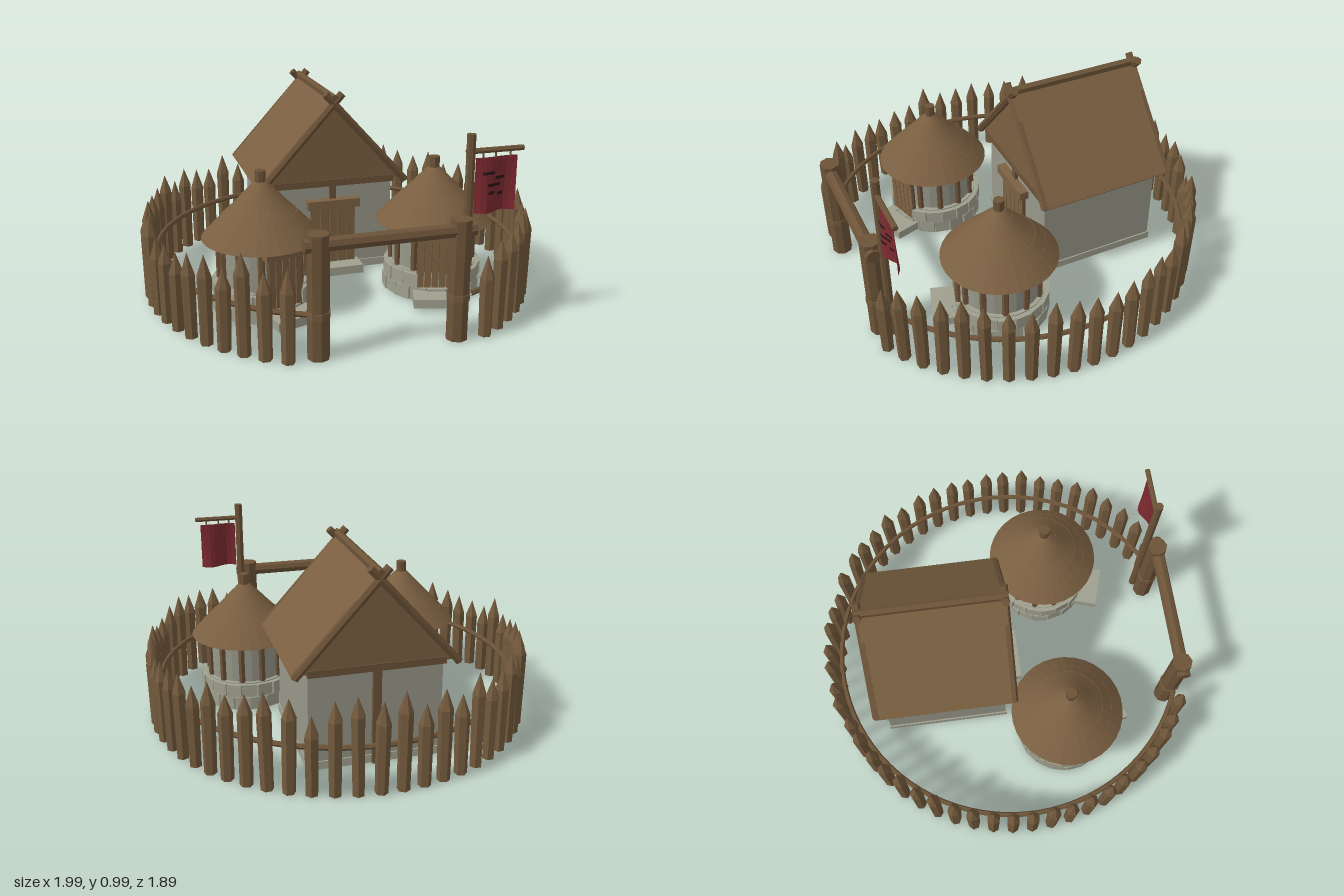
import * as THREE from 'three';

const mat = (name, color, side = THREE.FrontSide) => {
  const m = new THREE.MeshStandardMaterial({ color, side, flatShading: true });
  m.name = name;
  return m;
};

export function createModel() {
  const wood = mat('stakeWood', 0x735a3d);
  const timber = mat('timber', 0x6c5338);
  const plank = mat('plankWood', 0x7d6243);
  const thatch = mat('thatch', 0x7a5f41);
  const plaster = mat('plaster', 0x97978a);
  const stone = mat('stone', 0xa0a08f);
  const cloth = mat('redCloth', 0x7d2a30, THREE.DoubleSide);
  const dark = mat('darkMark', 0x2c1517, THREE.DoubleSide);

  const model = new THREE.Group();
  model.name = 'village';

  let seed = 7;
  const rand = () => (seed = (seed * 16807) % 2147483647) / 2147483647;

  const add = (parent, name, geo, material, x = 0, y = 0, z = 0) => {
    const m = new THREE.Mesh(geo, material);
    m.name = name;
    m.position.set(x, y, z);
    parent.add(m);
    return m;
  };
  const box = (parent, name, material, w, h, d, x, y, z) =>
    add(parent, name, new THREE.BoxGeometry(w, h, d), material, x, y, z);
  // Round pole between two points
  const pole = (parent, name, material, a, b, r, sides = 8) => {
    const A = new THREE.Vector3(...a), B = new THREE.Vector3(...b);
    const dir = B.clone().sub(A);
    const m = add(parent, name, new THREE.CylinderGeometry(r, r, dir.length(), sides), material);
    m.position.copy(A.add(B).multiplyScalar(0.5));
    m.quaternion.setFromUnitVectors(new THREE.Vector3(0, 1, 0), dir.normalize());
    return m;
  };
  const group = (name, x = 0, y = 0, z = 0) => {
    const g = new THREE.Group();
    g.name = name;
    g.position.set(x, y, z);
    model.add(g);
    return g;
  };

  // Palisade: ring of pointed stakes with a gap at the gate
  const fence = group('palisade', 0, 0, 0.05);
  const stakes = 50, gap = 0.5;
  for (let i = 0; i < stakes; i++) {
    const a = gap + (i / (stakes - 1)) * (Math.PI * 2 - gap * 2);
    const h = 0.39 + rand() * 0.1, tip = 0.09 + rand() * 0.02;
    const s = new THREE.Group();
    s.name = 'stake';
    s.position.set(Math.sin(a) * 0.963, 0, Math.cos(a) * 0.963);
    s.rotation.set((rand() - 0.5) * 0.03, a + (rand() - 0.5) * 0.3, (rand() - 0.5) * 0.03);
    add(s, 'stakeShaft', new THREE.CylinderGeometry(0.035, 0.031, h - tip, 6), wood, 0, (h - tip) / 2, 0);
    add(s, 'stakeTip', new THREE.ConeGeometry(0.035, tip, 6), wood, 0, h - tip / 2, 0);
    fence.add(s);
  }
  const railGeo = new THREE.TorusGeometry(0.925, 0.013, 6, 72, Math.PI * 2 - 0.84);
  railGeo.rotateZ(Math.PI / 2 + 0.42).rotateX(Math.PI / 2);
  add(fence, 'fenceRail', railGeo, timber, 0, 0.215, 0);

  // Gate
  const gate = group('gate', 0, 0, 0.885);
  for (const s of [-1, 1]) {
    pole(gate, 'gatePost', timber, [s * 0.325, 0, 0], [s * 0.325, 0.575, 0], 0.051);
    pole(gate, 'gateBinding', wood, [s * 0.325, 0.195, 0], [s * 0.325, 0.225, 0], 0.055);
  }
  pole(gate, 'gateBeam', timber, [-0.39, 0.525, 0.005], [0.39, 0.525, 0.005], 0.034);

  // Banner on its pole
  const banner = group('banner', 0, 0, 0.84);
  pole(banner, 'bannerPole', timber, [0.375, 0, 0], [0.375, 0.94, 0], 0.021);
  pole(banner, 'bannerCrossbar', timber, [0.355, 0.862, 0], [0.627, 0.862, 0], 0.013, 6);
  const wave = (x, y) => Math.sin((x - 0.4) * 32) * 0.022 * (0.83 - y + 0.08) / 0.33;
  const ripple = (geo, off) => {
    const p = geo.attributes.position;
    for (let i = 0; i < p.count; i++) p.setZ(i, wave(p.getX(i), p.getY(i)) + off);
    return geo;
  };
  add(banner, 'bannerCloth', ripple(new THREE.PlaneGeometry(0.2, 0.255, 8, 4).translate(0.5, 0.703, 0), 0), cloth);
  for (const x of [0.435, 0.495, 0.565])
    pole(banner, 'bannerTie', timber, [x, 0.825, 0], [x, 0.865, 0], 0.005, 5);
  [[0.46, 0.76, 0.06], [0.52, 0.735, 0.05], [0.49, 0.705, 0.07], [0.475, 0.67, 0.035], [0.525, 0.66, 0.03]].forEach(([x, y, w]) =>
    add(banner, 'bannerMark', ripple(new THREE.PlaneGeometry(w, 0.014, 6, 1).translate(x, y, 0), 0.008), dark));

  // Longhouse: walls, gables, roof
  const house = group('longhouse');
  box(house, 'houseWalls', plaster, 0.65, 0.5, 0.64, 0, 0.26, -0.335);
  box(house, 'housePlinth', stone, 0.665, 0.04, 0.655, 0, 0.03, -0.335);
  const tri = new THREE.Shape();
  tri.moveTo(-0.365, 0.505);
  tri.lineTo(0.365, 0.505);
  tri.lineTo(0, 0.925);
  const gableGeo = new THREE.ExtrudeGeometry(tri, { depth: 0.02, bevelEnabled: false });
  add(house, 'frontGable', gableGeo, thatch, 0, 0, -0.01);
  add(house, 'backGable', gableGeo, thatch, 0, 0, -0.68);
  const eaveX = 0.4, eaveY = 0.495, ridgeY = 0.94;
  const slope = Math.atan2(ridgeY - eaveY, eaveX), run = Math.hypot(eaveX, ridgeY - eaveY);
  for (const s of [-1, 1]) {
    const slab = box(house, 'roofSlope', thatch, run, 0.018, 0.71, s * eaveX / 2, (ridgeY + eaveY) / 2, -0.332);
    slab.rotation.z = -s * slope;
    pole(house, 'eavePole', timber, [s * 0.392, 0.5, -0.69], [s * 0.392, 0.5, 0.03], 0.012, 6);
    // Crossed verge poles at both ends
    for (const z of [0.018, -0.682])
      pole(house, 'vergePole', timber, [s * 0.392, 0.493, z], [-s * 0.045, 0.975, z], 0.021, 6);
  }
  pole(house, 'ridgePole', timber, [0, 0.95, -0.7], [0, 0.95, 0.035], 0.023, 6);
  for (const z of [-0.005, -0.665])
    box(house, 'gableBeam', timber, 0.66, 0.035, 0.04, 0, 0.505, z);
  box(house, 'backPost', timber, 0.04, 0.5, 0.03, 0, 0.26, -0.662);
  box(house, 'frontPost', timber, 0.035, 0.08, 0.025, 0, 0.455, -0.01);

  // Plank door with lintel and stone step, facing +z
  const doorway = (parent, w, top, z, stepFront) => {
    const n = 5, pw = w / n;
    for (let i = 0; i < n; i++)
      box(parent, 'doorPlank', plank, pw - 0.004, top - 0.06, 0.022, -w / 2 + pw * (i + 0.5), (top + 0.06) / 2, z);
    box(parent, 'doorBacking', timber, w, top - 0.06, 0.012, 0, (top + 0.06) / 2, z - 0.004);
    box(parent, 'doorLintel', plank, w + 0.04, 0.045, 0.05, 0, top + 0.022, z + 0.008);
    box(parent, 'doorStep', stone, w + 0.04, 0.045, stepFront - z + 0.03, 0, 0.042, (stepFront + z - 0.03) / 2);
  };
  doorway(house, 0.24, 0.37, 0, 0.1);

  // Round huts, mirrored about the centre line
  const tiers = [
    [0.29, 0.365, 0.225, 0.435], [0.238, 0.42, 0.172, 0.49], [0.185, 0.475, 0.115, 0.545],
    [0.13, 0.53, 0.065, 0.6], [0.078, 0.585, 0.03, 0.635],
  ];
  for (const s of [-1, 1]) {
    const hut = group('roundHut', s * 0.443, 0, 0.29);
    hut.rotation.y = -s * 0.3;
    add(hut, 'hutWall', new THREE.CylinderGeometry(0.205, 0.205, 0.38, 24), plaster, 0, 0.21, 0);
    add(hut, 'hutFloor', new THREE.CylinderGeometry(0.225, 0.225, 0.14, 24), stone, 0, 0.082, 0);
    // Two staggered stone courses
    for (let c = 0; c < 2; c++)
      for (let i = 0; i < 18; i++) {
        const a = ((i + c * 0.5) / 18) * Math.PI * 2, r = 0.215 + rand() * 0.008;
        if (c && Math.cos(a) > 0.9) continue;
        const b = box(hut, 'baseStone', stone, 0.08, 0.068, 0.05, Math.sin(a) * r, 0.042 + c * 0.07, Math.cos(a) * r);
        b.rotation.y = a;
      }
    // Wall posts
    for (let i = 1; i < 12; i++) {
      const a = (i / 12) * Math.PI * 2, x = Math.sin(a) * 0.207, z = Math.cos(a) * 0.207;
      pole(hut, 'wallPost', timber, [x, 0.14, z], [x, 0.41, z], 0.017, 6);
    }
    doorway(hut, 0.18, 0.325, 0.215, 0.345);
    // Tiered thatch and smoke post
    for (const [r0, y0, r1, y1] of tiers)
      add(hut, 'thatchTier', new THREE.CylinderGeometry(r1, r0, y1 - y0, 32), thatch, 0, (y0 + y1) / 2, 0);
    pole(hut, 'roofFinial', timber, [0, 0.58, 0], [0, 0.69, 0], 0.027);
  }

  return model;
}
